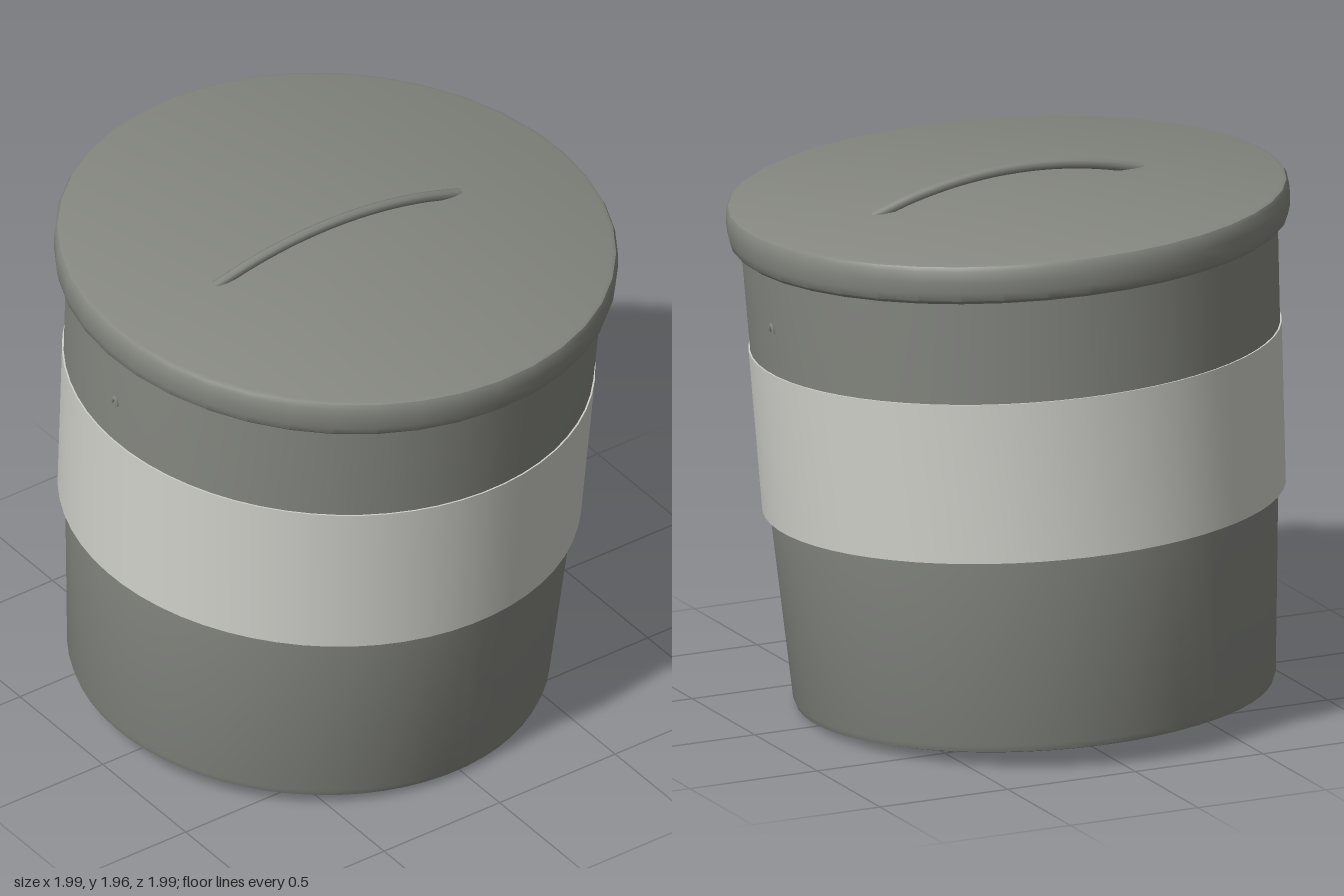
import * as THREE from 'three';
import { toCreasedNormals } from 'three/addons/utils/BufferGeometryUtils.js';

// Revolve a profile listed from bottom to top as [radius, height]
function revolve(profile, segments, crease = 0.6) {
  const points = profile.map(([r, y]) => new THREE.Vector2(r, y));
  return toCreasedNormals(new THREE.LatheGeometry(points, segments), crease);
}

export function createModel() {
  const grey = new THREE.MeshStandardMaterial({ color: 0x858780 });
  grey.name = 'grey plastic';
  const pale = new THREE.MeshStandardMaterial({ color: 0xd0d1ca });
  pale.name = 'pale band';

  const model = new THREE.Group();
  model.name = 'lidded bin';
  const bin = new THREE.Group();
  bin.name = 'tilted bin';
  model.add(bin);

  const add = (name, geometry, material) => {
    const mesh = new THREE.Mesh(geometry, material);
    mesh.name = name;
    bin.add(mesh);
    return mesh;
  };

  // Tapered bucket with a slightly rounded bottom edge
  add('bucket', revolve([
    [0, 0], [0.825, 0], [0.842, 0.006], [0.851, 0.03],
    [0.896, 0.71], [0.934, 1.3], [0.947, 1.7],
  ], 64), grey);

  // Wide band wrapped round the bucket
  add('band', revolve([[0.88, 0.715], [0.923, 0.715], [0.94, 1.3], [0.92, 1.3]], 64), pale);

  // Overhanging lid
  add('lid', revolve([
    [0.93, 1.69], [0.945, 1.675], [0.968, 1.677], [0.983, 1.69], [0.991, 1.72],
    [0.994, 1.76], [0.992, 1.8], [0.984, 1.816], [0.97, 1.822], [0, 1.822],
  ], 40), grey);

  // Low arched handle whose ends sink into the lid
  const arch = [-0.53, -0.36, -0.18, 0, 0.18, 0.36, 0.53].map(
    (x) => new THREE.Vector3(x, 1.897 - 0.085 * (x / 0.53) ** 2, 0));
  add('handle', new THREE.TubeGeometry(new THREE.CatmullRomCurve3(arch), 24, 0.019, 8), grey);

  // Tiny arched lugs on both sides
  for (const side of [-1, 1]) {
    const lug = add(side > 0 ? 'leftLug' : 'rightLug',
      new THREE.TorusGeometry(0.014, 0.006, 6, 10, Math.PI), grey);
    lug.scale.y = 1.8;
    lug.rotation.y = Math.PI / 2;
    lug.position.set(side * 0.943, 1.46, 0.005);
  }

  // Lean the whole bin towards its front left
  bin.quaternion.setFromUnitVectors(
    new THREE.Vector3(0, 1, 0), new THREE.Vector3(0.04, 1, 0.04).normalize());
  bin.position.set(-0.065, 0.048, -0.065);
  return model;
}
